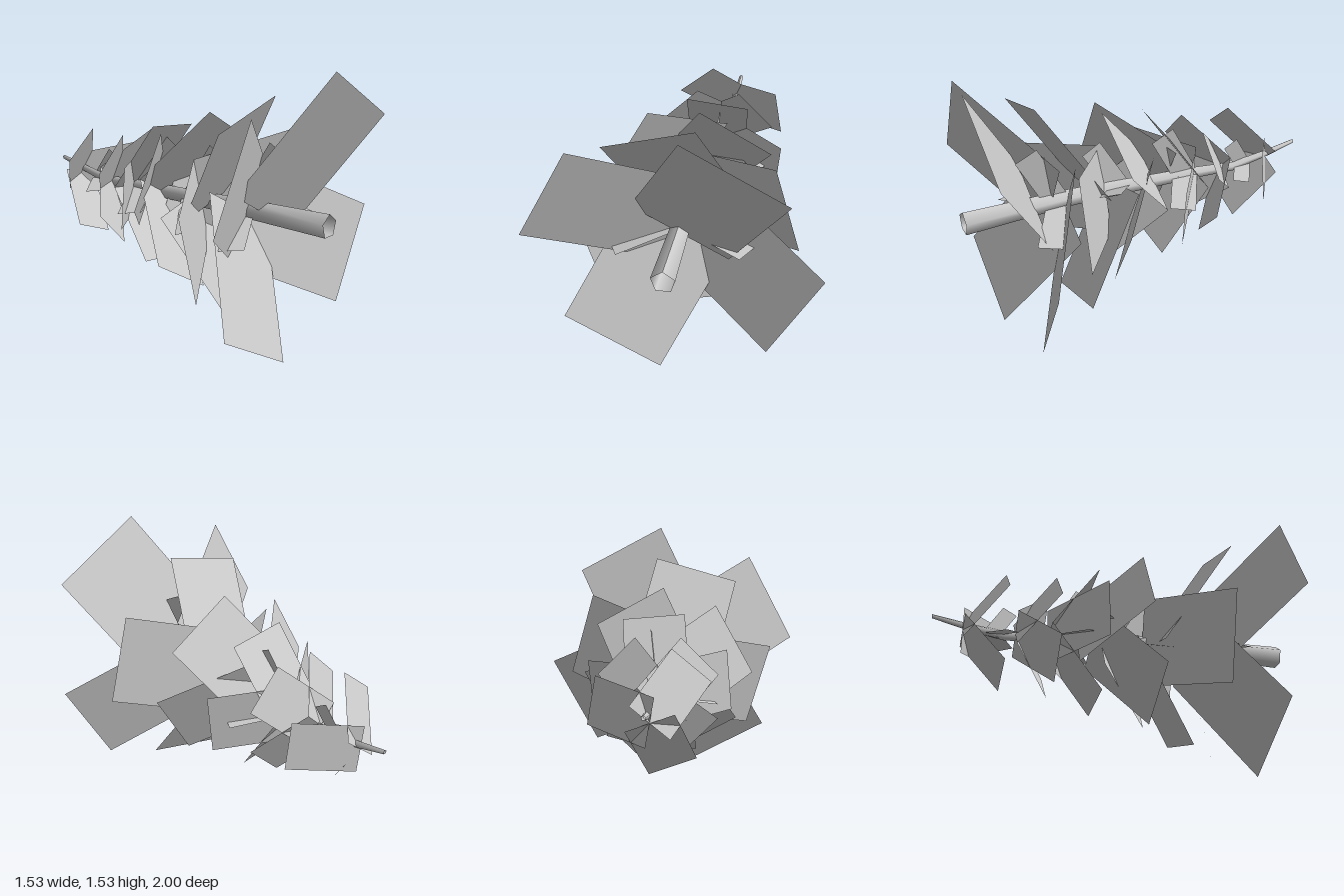
import * as THREE from 'three';

const material = new THREE.MeshStandardMaterial({ color: 0xcccccc, side: THREE.DoubleSide });

// Flat four-cornered card, corners given in order round the edge
function card(name, corners) {
  const geometry = new THREE.BufferGeometry();
  geometry.setAttribute('position', new THREE.Float32BufferAttribute(corners.flat(), 3));
  geometry.setIndex([0, 1, 2, 0, 2, 3]);
  geometry.computeVertexNormals();
  const mesh = new THREE.Mesh(geometry, material);
  mesh.name = name;
  return mesh;
}

// Square spray of needles: starts on the trunk axis and slopes outwards to the tree's foot
function spray({ cx, cy, r, width, depth }, degrees, zOuter) {
  const a = THREE.MathUtils.degToRad(degrees), c = Math.cos(a), s = Math.sin(a);
  const at = (radius, side, z) => [cx + c * radius - s * side, cy + s * radius + c * side, z];
  const h = width / 2, zInner = zOuter - depth;
  return card('foliageCard', [
    at(0, -h, zInner), at(r, -h, zOuter), at(r, h, zOuter), at(0, h, zInner),
  ]);
}

// Narrow branch card standing edge-on to the trunk's length
function branch({ cx, cy, z, reach, drop, width }, degrees) {
  const a = THREE.MathUtils.degToRad(degrees);
  const length = Math.hypot(reach, drop);
  const nr = (-drop / length) * width / 2, nz = (reach / length) * width / 2;
  const at = (r, dz) => [cx + Math.cos(a) * r, cy + Math.sin(a) * r, z + dz];
  return card('branchCard', [
    at(nr, nz), at(reach + nr, drop + nz), at(reach - nr, drop - nz), at(-nr, -nz),
  ]);
}

// Five-sided tapering trunk lying along z and bending slightly on the way to its tip
function trunk() {
  const rings = [ // x, y, z, radius
    [0, 0.77, 1, 0.065], [0, 0.775, 0.4, 0.05], [0.02, 0.77, 0, 0.042],
    [0.04, 0.765, -0.35, 0.034], [0.06, 0.757, -0.6, 0.027],
    [0.075, 0.8, -0.82, 0.02], [0.08, 0.84, -1, 0.012],
  ];
  const geometry = new THREE.CylinderGeometry(1, 1, 1, 5, rings.length - 1, true);
  const p = geometry.attributes.position;
  for (let i = 0; i < p.count; i++) {
    const [x, y, z, r] = rings[Math.round((p.getY(i) + 0.5) * (rings.length - 1))];
    p.setXYZ(i, x + p.getX(i) * r, y + p.getZ(i) * r, z);
  }
  geometry.computeVertexNormals();
  const mesh = new THREE.Mesh(geometry, material);
  mesh.name = 'trunk';
  return mesh;
}

export function createModel() {
  const tree = new THREE.Group();
  tree.name = 'fallenConifer';
  tree.add(trunk());

  // Foliage tiers from the foot to the tip; z lists the outer edge of each card
  const tiers = [
    { cx: 0, cy: 0.77, r: 0.71, width: 0.585, depth: 0.36, start: 62, step: 90, z: [0.96, 0.86, 0.8, 0.77] },
    { cx: 0, cy: 0.77, r: 0.565, width: 0.5, depth: 0.35, start: 106, step: 90, z: [0.6, 0.53, 0.44, 0.53] },
    { cx: 0.01, cy: 0.77, r: 0.44, width: 0.44, depth: 0.32, start: 61, step: 90, z: [0.21, 0.12, 0.21, 0.26] },
    { cx: 0.04, cy: 0.765, r: 0.385, width: 0.34, depth: 0.27, start: 85, step: 90, z: [-0.09, -0.09, -0.09, -0.09] },
    { cx: 0.04, cy: 0.765, r: 0.31, width: 0.28, depth: 0.205, start: 45, step: 90, z: [-0.335, -0.335, -0.335, -0.335] },
    { cx: 0.06, cy: 0.765, r: 0.31, width: 0.26, depth: 0.215, start: 10, step: 120, z: [-0.615, -0.615, -0.615] },
  ];
  tiers.forEach((tier, n) => {
    const group = new THREE.Group();
    group.name = `foliageTier${n + 1}`;
    tier.z.forEach((z, i) => group.add(spray(tier, tier.start + i * tier.step, z)));
    tree.add(group);
  });

  // Branch cards between the tiers
  const whorls = [
    { cx: 0, cy: 0.75, z: 0.46, reach: 0.36, drop: 0.19, width: 0.135, angles: [82, 195, -4] },
    { cx: 0.01, cy: 0.77, z: 0.1, reach: 0.28, drop: 0.17, width: 0.12, angles: [88, 25, 205] },
    { cx: 0.04, cy: 0.77, z: -0.3, reach: 0.3, drop: 0.17, width: 0.14, angles: [82, 195, -6] },
    { cx: 0.06, cy: 0.76, z: -0.67, reach: 0.16, drop: 0.1, width: 0.09, angles: [82, 195, -6] },
  ];
  whorls.forEach((whorl, n) => {
    const group = new THREE.Group();
    group.name = `branchWhorl${n + 1}`;
    whorl.angles.forEach((a) => group.add(branch(whorl, a)));
    tree.add(group);
  });
  return tree;
}
